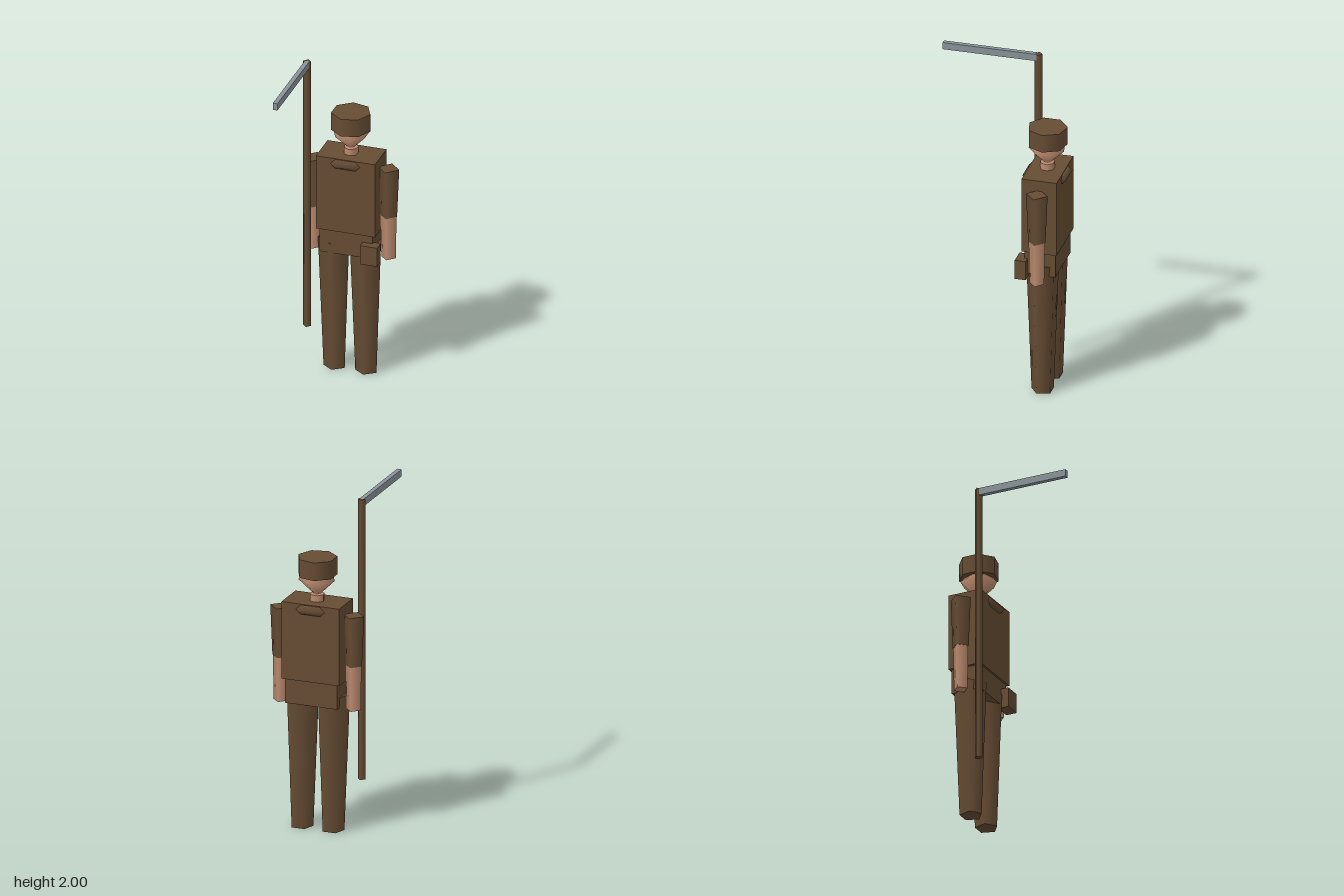
import * as THREE from 'three';

export function createModel() {
  const model = new THREE.Group();
  const mat = (name, color) => {
    const m = new THREE.MeshStandardMaterial({ color });
    m.name = name;
    return m;
  };
  const cloth = mat('brown', 0x674d34);
  const skin = mat('skin', 0xbe8c70);
  const metal = mat('greyMetal', 0x8a949a);

  const Z = -0.28; // depth of the body axis

  function add(name, geometry, material, x, y, z = Z) {
    const mesh = new THREE.Mesh(geometry, material);
    mesh.name = name;
    mesh.position.set(x, y, z);
    model.add(mesh);
    return mesh;
  }
  const box = (w, h, d) => new THREE.BoxGeometry(w, h, d);
  // Upright tapered prism placed between two heights
  function limb(name, material, x, z, y0, y1, rTop, rBottom, sides) {
    const g = new THREE.CylinderGeometry(rTop, rBottom, y1 - y0, sides);
    return add(name, g, material, x, (y0 + y1) / 2, z);
  }

  // Trunk
  add('torso', box(0.36, 0.47, 0.21), cloth, 0, 1.155);
  add('pelvis', box(0.325, 0.15, 0.185), cloth, 0, 0.845);
  add('beltPouch', box(0.104, 0.12, 0.066), cloth, 0.153, 0.81, -0.174);

  // Collar ring, poking out through the chest and back
  const collar = new THREE.TorusGeometry(0.12, 0.03, 4, 6).rotateX(Math.PI / 2);
  add('collar', collar, cloth, 0, 1.357);

  // Arms and legs
  for (const [side, s] of [['left', 1], ['right', -1]]) {
    limb(side + 'Leg', cloth, s * 0.097, Z, 0, 0.83, 0.1, 0.068, 5);
    limb(side + 'Sleeve', cloth, s * 0.228, Z, 1.02, 1.325, 0.065, 0.052, 4);
    limb(side + 'Forearm', skin, s * 0.228, Z, 0.75, 1.02, 0.049, 0.044, 4);
  }

  // Neck, head and cap
  limb('neck', skin, 0, Z, 1.37, 1.43, 0.043, 0.043, 7);
  add('head', new THREE.SphereGeometry(0.109, 7, 2), skin, 0, 1.52);
  limb('cap', cloth, 0, Z, 1.545, 1.655, 0.117, 0.117, 7).rotation.y = Math.PI / 2;

  // Long pole with a straight blade pointing forwards
  limb('pole', cloth, -0.229, -0.163, 0.29, 2, 0.024, 0.024, 4);
  add('blade', box(0.028, 0.043, 0.57), metal, -0.229, 1.9785, 0.123);

  return model;
}
